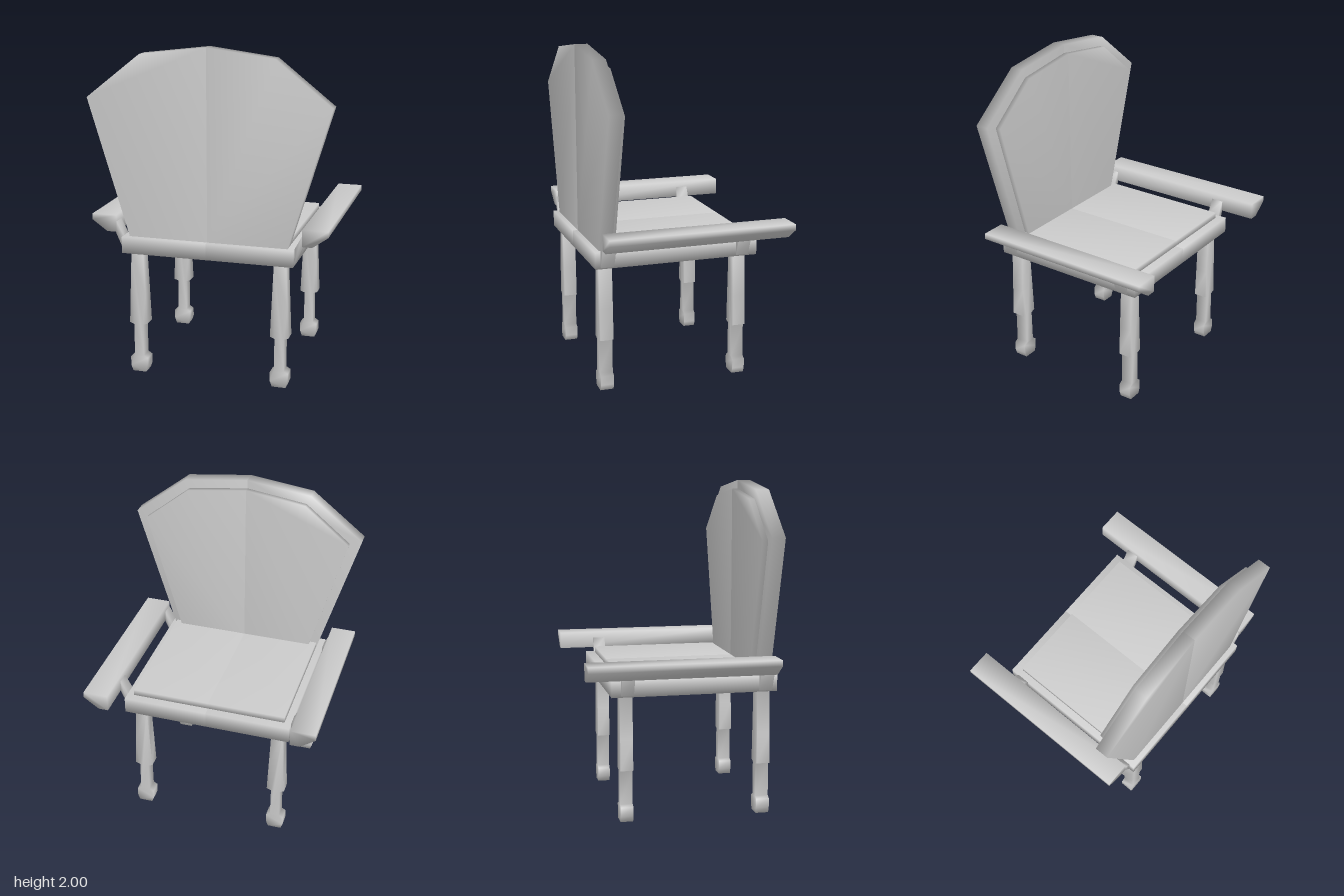
import * as THREE from 'three';
import { mergeVertices } from 'three/addons/utils/BufferGeometryUtils.js';

const material = new THREE.MeshStandardMaterial({ color: 0xcccccc });

// Extrude an x-y outline from z0 to z1, with normals smoothed over the edges
function slab(name, points, z0, z1) {
  const shape = new THREE.Shape(points.map(([x, y]) => new THREE.Vector2(x, y)));
  const extruded = new THREE.ExtrudeGeometry(shape, { depth: z1 - z0, bevelEnabled: false });
  extruded.translate(0, 0, z0);
  extruded.deleteAttribute('normal');
  extruded.deleteAttribute('uv');
  const geometry = mergeVertices(extruded, 1e-4);
  geometry.computeVertexNormals();
  const mesh = new THREE.Mesh(geometry, material);
  mesh.name = name;
  return mesh;
}

// Seat, made of two halves that meet at x = 0, each with a raised panel
const seatProfile = [[0, 0.763], [0.522, 0.763], [0.522, 0.862], [0, 0.862]];
const seatPanelProfile = [[0, 0.855], [0.48, 0.855], [0.48, 0.9], [0, 0.9]];

// Fan-shaped backrest halves with a raised front panel
const fanProfile = [[0, 0.862], [0.482, 0.862], [0.73, 1.688], [0.4, 1.95], [0, 2]];
const fanPanelProfile = [[0, 0.87], [0.43, 0.87], [0.655, 1.665], [0.375, 1.895], [0, 1.947]];

// Armrest and its slanted supports, which grow out of the seat's side
const armProfile = [[0.565, 0.882], [0.625, 0.882], [0.718, 0.948], [0.718, 0.984], [0.565, 0.984]];
const supportProfile = [[0.52, 0.765], [0.572, 0.884], [0.567, 0.95], [0.52, 0.86]];

// Leg: turned silhouette cut from a flat board
const halfLeg = [
  [0.042, 0], [0.055, 0.035], [0.055, 0.09], [0.03, 0.105], [0.028, 0.305],
  [0.056, 0.315], [0.048, 0.5], [0.036, 0.77],
];
const legProfile = [...halfLeg, ...halfLeg.map(([x, y]) => [-x, y]).reverse()];

export function createModel() {
  const chair = new THREE.Group();
  chair.name = 'armchair';

  for (const [side, s] of [['left', 1], ['right', -1]]) {
    const flip = (points) => points.map(([x, y]) => [x * s, y]);
    chair.add(
      slab(side + 'Seat', flip(seatProfile), -0.418, 0.581),
      slab(side + 'SeatPanel', flip(seatPanelProfile), -0.364, 0.527),
      slab(side + 'Backrest', flip(fanProfile), 0.47, 0.55),
      slab(side + 'BackrestPanel', flip(fanPanelProfile), 0.437, 0.475),
      slab(side + 'Armrest', flip(armProfile), -0.581, 0.55),
    );
    for (const [row, z0, z1] of [['Front', -0.363, -0.287], ['Rear', 0.47, 0.55]]) {
      const leg = slab(side + row + 'Leg', legProfile, z0, z1);
      leg.position.x = 0.438 * s;
      chair.add(leg, slab(side + row + 'ArmSupport', flip(supportProfile), z0, z1));
    }
  }
  return chair;
}
